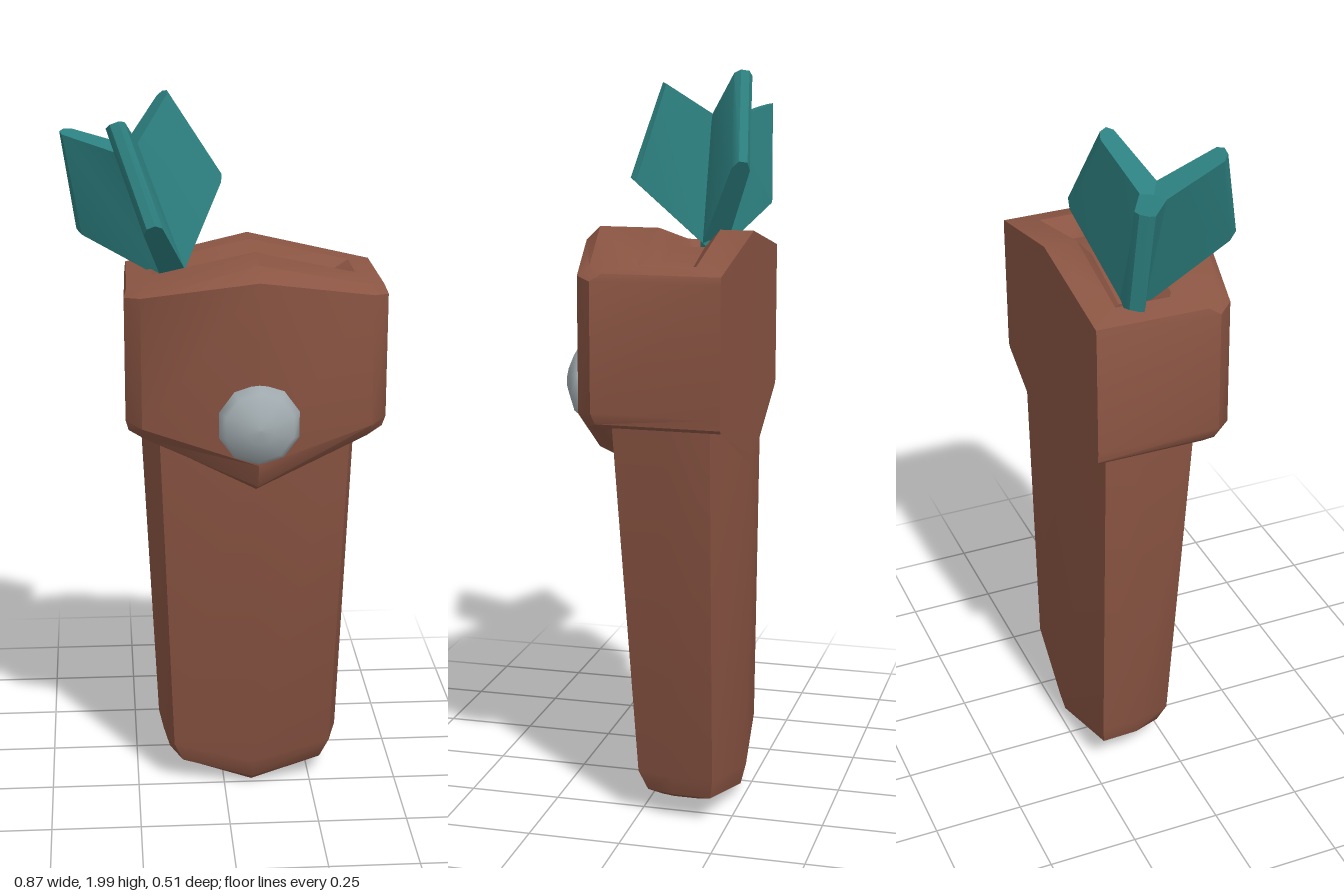
import * as THREE from 'three';
import { toCreasedNormals } from 'three/addons/utils/BufferGeometryUtils.js';

const V = (x, y, z) => new THREE.Vector3(x, y, z);
const CX = 0.08; // centre line of the sheath

// Skin a stack of equal-length rings; each end is closed by a fan around the given centre.
function loft(rings, startCentre, endCentre) {
  const pos = [];
  const tri = (...pts) => pts.forEach((p) => pos.push(p.x, p.y, p.z));
  const n = rings[0].length;
  for (let i = 0; i < rings.length - 1; i++) {
    for (let j = 0; j < n; j++) {
      const k = (j + 1) % n;
      const [a, b, c, d] = [rings[i][j], rings[i][k], rings[i + 1][k], rings[i + 1][j]];
      tri(a, b, c);
      tri(a, c, d);
    }
  }
  const last = rings[rings.length - 1];
  for (let j = 0; j < n; j++) {
    const k = (j + 1) % n;
    tri(rings[0][k], rings[0][j], startCentre);
    tri(last[j], last[k], endCentre);
  }
  const g = new THREE.BufferGeometry();
  g.setAttribute('position', new THREE.Float32BufferAttribute(pos, 3));
  return toCreasedNormals(g, 0.6);
}

// Symmetric eight-point ring: half width w at depth ws, front corner (wi, zc),
// back corner zb, back and front centres zbc and zf, heights ys (side) and yc (centre).
function ring([w, wBack, wi, zs, zb, zbc, zc, zf, ys, yc]) {
  const h = (x) => ys + (yc - ys) * (1 - x / Math.max(w, wBack));
  const side = [[w, zs], [wBack, zb]];
  const pts = [...side, [0, zbc], [-wBack, zb], [-w, zs], [-wi, zc], [0, zf], [wi, zc]];
  return pts.map(([x, z]) => V(CX + x, h(Math.abs(x)), z));
}

function ringLoft(rows) {
  const rings = rows.map(ring);
  const mid = (r) => r[2].clone().lerp(r[6], 0.5);
  return loft(rings, mid(rings[0]), mid(rings[rings.length - 1]));
}

// One thick fletching blade running from the shaft axis out to a slanted edge.
function vaneGeometry(rootLow, rootHigh, tipLow, tipHigh) {
  const up = rootHigh.clone().sub(rootLow);
  const out = tipLow.clone().add(tipHigh).sub(rootLow).sub(rootHigh);
  const normal = up.cross(out).normalize();
  const rings = [[0, 0.035], [0.92, 0.026], [1, 0.012]].map(([t, half]) => {
    const lo = rootLow.clone().lerp(tipLow, t);
    const hi = rootHigh.clone().lerp(tipHigh, t);
    const off = (p, s) => p.clone().addScaledVector(normal, s * half);
    return [off(lo, 1), off(hi, 1), off(hi, -1), off(lo, -1)];
  });
  return loft(rings, rootLow.clone().lerp(rootHigh, 0.5), tipLow.clone().lerp(tipHigh, 0.5));
}

export function createModel() {
  const group = new THREE.Group();
  const leather = new THREE.MeshStandardMaterial({ color: 0x8b5543 });
  const teal = new THREE.MeshStandardMaterial({ color: 0x2d8080 });
  const metal = new THREE.MeshStandardMaterial({ color: 0xa3adb1 });
  const add = (name, geometry, material, parent = group) => {
    const mesh = new THREE.Mesh(geometry, material);
    mesh.name = name;
    parent.add(mesh);
    return mesh;
  };

  // Tapering sheath with a rounded foot
  add('sheath', ringLoft([
    [0.18, 0.18, 0.16, -0.09, -0.16, -0.17, -0.05, -0.02, 0.05, 0.005],
    [0.235, 0.24, 0.20, -0.1, -0.205, -0.235, -0.02, 0.015, 0.08, 0.03],
    [0.253, 0.263, 0.225, -0.1, -0.215, -0.25, 0.0, 0.04, 0.14, 0.09],
    [0.297, 0.313, 0.265, -0.1, -0.215, -0.25, 0.065, 0.092, 1.2, 1.15],
  ]), leather);

  // Collar around the mouth, with a shallow slot sunk in its top
  add('collar', ringLoft([
    [0.28, 0.28, 0.24, 0.02, -0.22, -0.235, 0.04, 0.07, 1.13, 0.97],
    [0.335, 0.335, 0.28, 0.05, -0.25, -0.257, 0.07, 0.1, 1.11, 0.95],
    [0.345, 0.343, 0.3, 0.08, -0.25, -0.258, 0.11, 0.17, 1.12, 0.98],
    [0.353, 0.345, 0.31, 0.09, -0.25, -0.258, 0.135, 0.203, 1.15, 1.05],
    [0.353, 0.345, 0.31, 0.09, -0.25, -0.258, 0.135, 0.203, 1.49, 1.55],
    [0.345, 0.342, 0.3, 0.06, -0.25, -0.258, 0.105, 0.165, 1.51, 1.588],
    [0.275, 0.275, 0.26, -0.02, -0.17, -0.167, -0.01, 0.0, 1.526, 1.588],
    [0.2, 0.2, 0.19, -0.06, -0.13, -0.125, -0.053, -0.045, 1.49, 1.54],
  ]), leather);

  // Faceted domed stud on the front
  const dome = [[0.0, 0], [0.1, 0], [0.113, 0.035], [0.095, 0.062], [0.04, 0.088], [0, 0.092]];
  const stud = add('stud', new THREE.LatheGeometry(dome.map(([r, y]) => new THREE.Vector2(r, y)), 10), metal);
  stud.rotation.x = Math.PI / 2;
  stud.position.set(CX, 1.165, 0.163);

  // Three blades fanned around one leaning axis
  const fletching = new THREE.Group();
  fletching.name = 'fletching';
  group.add(fletching);
  const low = V(-0.13, 1.5, -0.095);
  const high = V(-0.255, 1.85, -0.09);
  [
    ['rightVane', V(-0.39, 1.62, -0.2), V(-0.43, 1.89, -0.19)],
    ['leftVane', V(0.0, 1.76, -0.21), V(-0.15, 1.995, -0.18)],
    ['frontVane', V(-0.2, 1.69, 0.155), V(-0.29, 1.95, 0.085)],
  ].forEach(([name, tipLow, tipHigh]) => add(name, vaneGeometry(low, high, tipLow, tipHigh), teal, fletching));

  return group;
}
